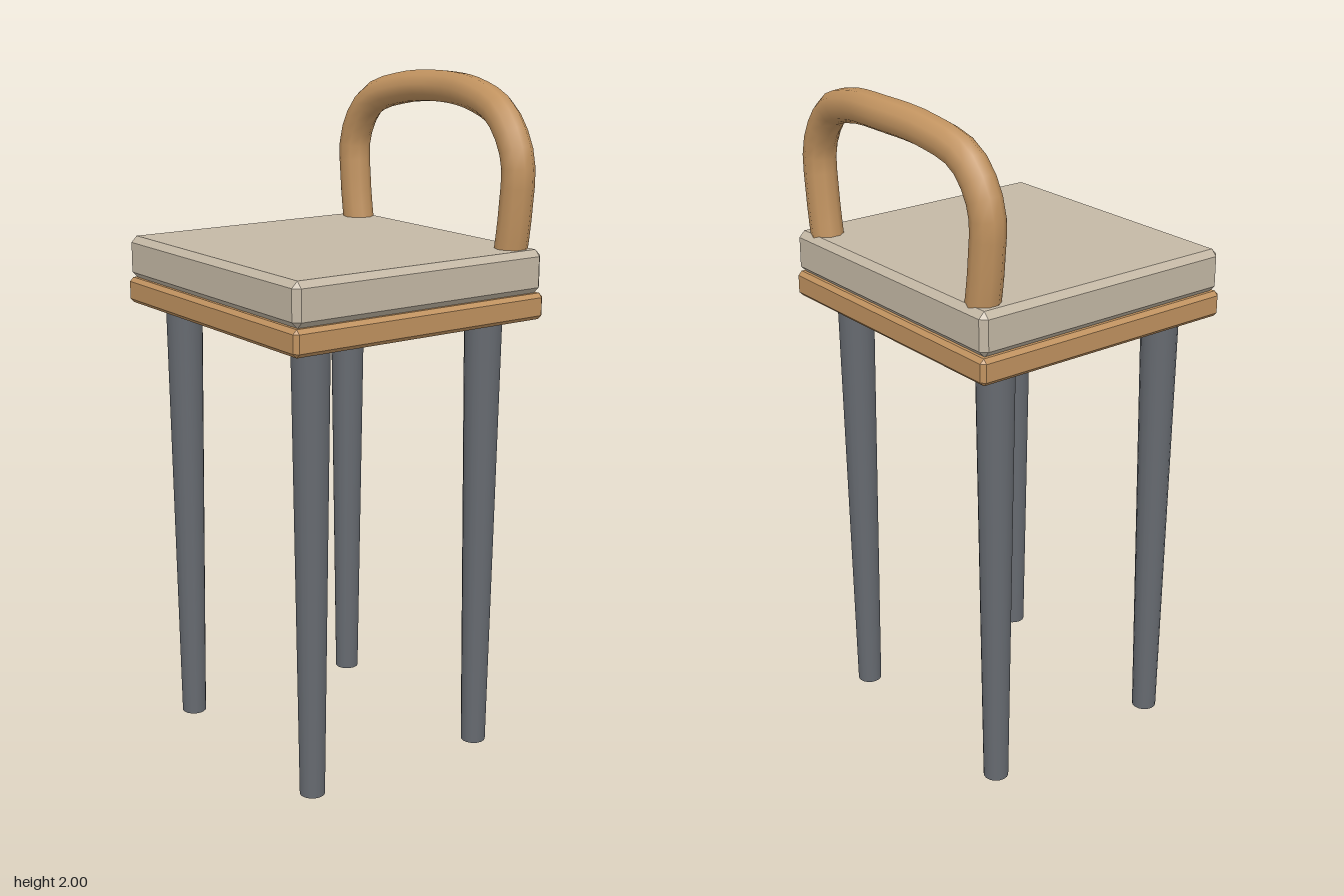
import * as THREE from 'three';
import { ConvexGeometry } from 'three/addons/geometries/ConvexGeometry.js';

const wood = new THREE.MeshStandardMaterial({ color: 0xc0925f });
wood.name = 'wood';
const fabric = new THREE.MeshStandardMaterial({ color: 0xc4b8a5 });
fabric.name = 'cushion fabric';
const metal = new THREE.MeshStandardMaterial({ color: 0x666a70 });
metal.name = 'grey metal';

const SEAT_Z = 0.0125;

// Box with every edge and corner cut flat by c
function chamferedBox(w, h, d, c) {
  const points = [];
  for (const sx of [-1, 1]) for (const sy of [-1, 1]) for (const sz of [-1, 1]) {
    const x = w / 2, y = h / 2, z = d / 2;
    points.push(
      new THREE.Vector3(sx * x, sy * (y - c), sz * (z - c)),
      new THREE.Vector3(sx * (x - c), sy * y, sz * (z - c)),
      new THREE.Vector3(sx * (x - c), sy * (y - c), sz * z),
    );
  }
  return new ConvexGeometry(points);
}

function addMesh(group, name, geometry, material, x = 0, y = 0, z = 0) {
  const mesh = new THREE.Mesh(geometry, material);
  mesh.name = name;
  mesh.position.set(x, y, z);
  group.add(mesh);
  return mesh;
}

export function createModel() {
  const stool = new THREE.Group();
  stool.name = 'barStool';

  // Seat board and cushion
  addMesh(stool, 'seatBoard', chamferedBox(0.9, 0.076, 0.855, 0.012), wood, 0, 1.363, SEAT_Z);
  addMesh(stool, 'seatCushion', chamferedBox(0.892, 0.125, 0.847, 0.018), fabric, 0, 1.463, SEAT_Z);

  // Four tapered legs
  const legGeometry = new THREE.CylinderGeometry(0.055, 0.037, 1.33, 16);
  for (const [side, x] of [['Left', 0.335], ['Right', -0.335]]) {
    for (const [end, z] of [['front', 0.315], ['back', -0.285]]) {
      addMesh(stool, `${end}${side}Leg`, legGeometry, metal, x, 0.665, z);
    }
  }

  // Bent backrest hoop, mirrored about the centre
  const half = [
    [0.36, 1.46, -0.352],
    [0.385, 1.64, -0.352],
    [0.386, 1.78, -0.353],
    [0.31, 1.893, -0.358],
    [0.17, 1.94, -0.378],
  ];
  const path = [
    ...half.map(([x, y, z]) => new THREE.Vector3(-x, y, z)),
    new THREE.Vector3(0, 1.953, -0.395),
    ...half.reverse().map(([x, y, z]) => new THREE.Vector3(x, y, z)),
  ];
  addMesh(stool, 'backrestHoop',
    new THREE.TubeGeometry(new THREE.CatmullRomCurve3(path), 32, 0.048, 10), wood);

  return stool;
}
